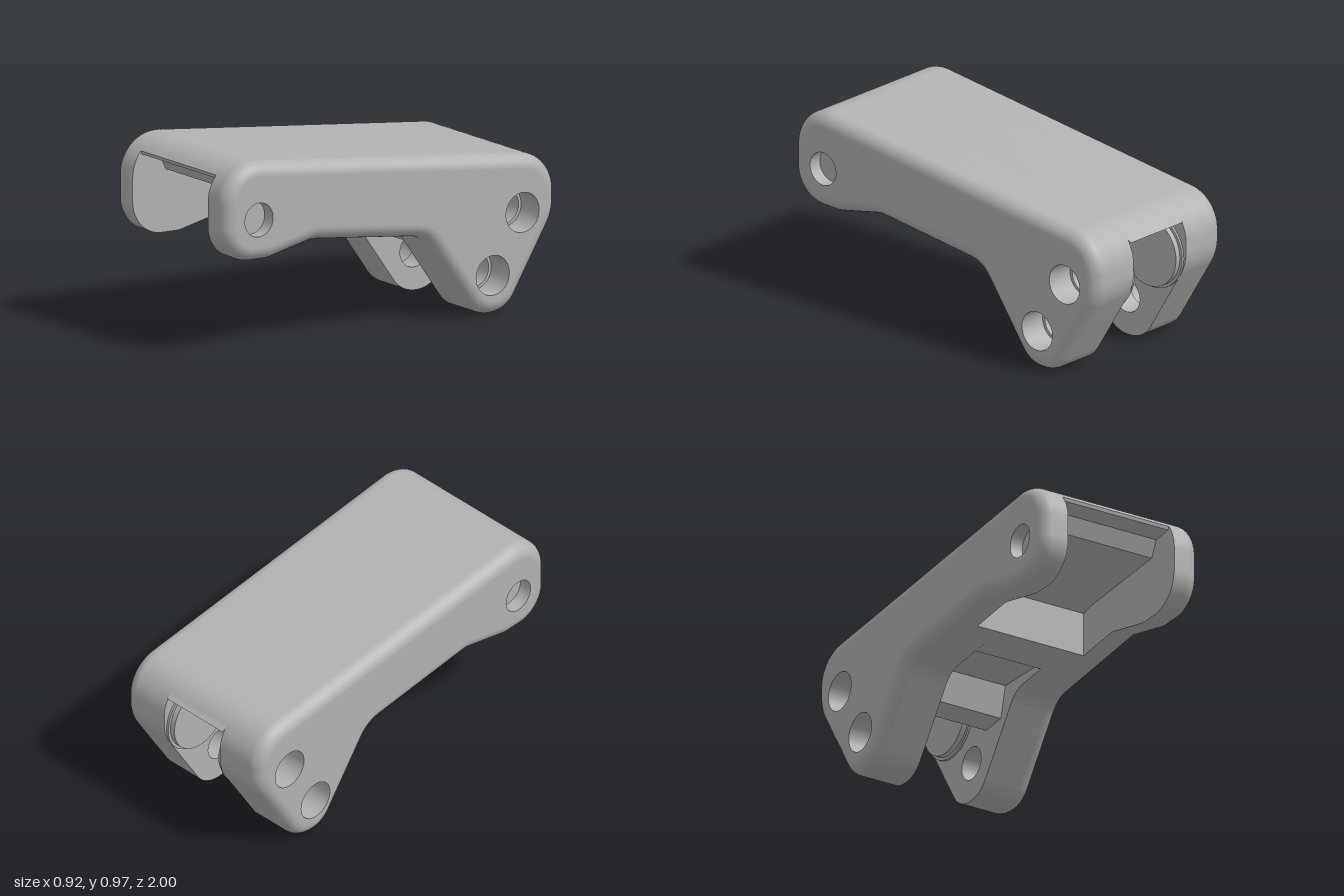
import * as THREE from 'three';
import { toCreasedNormals } from 'three/addons/utils/BufferGeometryUtils.js';

const V = (z, y) => new THREE.Vector2(-z, y); // side-profile point, drawn in (-z, y)

// Side profile corners: z, y, corner radius
const CORNERS = [
  [1, 0.99, 0.2], [1, 0.475, 0.18], [0.72, 0.468, 0.15], [0.45, 0.525, 0.15],
  [-0.22, 0.442, 0.15], [-0.535, 0, 0.16], [-0.718, 0, 0.16],
  [-1, 0.46, 0.25], [-1, 0.754, 0.2],
];
const UPPER = [-0.79, 0.49], LOWER = [-0.61, 0.2], FRONT = [0.8, 0.68];
const RIM = 0.07;

// Rounds every corner, giving points with outward normals
function roundedOutline(corners, steps = 14) {
  const out = [], n = corners.length;
  const at = (i) => V(...corners[(i + n) % n]);
  for (let i = 0; i < n; i++) {
    const p = at(i), r = corners[i][2];
    const d1 = at(i - 1).sub(p).normalize(), d2 = at(i + 1).sub(p).normalize();
    const half = Math.acos(d1.dot(d2)) / 2;
    const c = p.clone().addScaledVector(d1.clone().add(d2).normalize(), r / Math.sin(half));
    const a0 = p.clone().addScaledVector(d1, r / Math.tan(half)).sub(c).angle();
    const a1 = p.clone().addScaledVector(d2, r / Math.tan(half)).sub(c).angle();
    const sweep = Math.atan2(Math.sin(a1 - a0), Math.cos(a1 - a0));
    for (let k = 0; k <= steps; k++) {
      const a = a0 + (sweep * k) / steps;
      const dir = new THREE.Vector2(Math.cos(a), Math.sin(a));
      out.push({ p: c.clone().addScaledVector(dir, r), n: dir.multiplyScalar(Math.sign(sweep)) });
    }
  }
  return out;
}

// Replaces the run of points inside a cut with the outline of that cut
function cut(points, inside, replacement) {
  const first = points.findIndex(inside);
  const kept = points.filter((p) => !inside(p));
  kept.splice(first, 0, ...replacement.map((q) => V(...q)));
  return kept;
}

function shapeOf(points, holes = []) {
  const shape = new THREE.Shape(points);
  for (const [z, y, r] of holes) {
    shape.holes.push(new THREE.Path().absarc(-z, y, r, 0, Math.PI * 2, true));
  }
  return shape;
}

// Flat slab between two x positions
function slab(points, holes, x0, x1) {
  const g = new THREE.ExtrudeGeometry(shapeOf(points, holes), {
    depth: x1 - x0, bevelEnabled: false, curveSegments: 20,
  });
  g.translate(0, 0, x0).rotateY(Math.PI / 2);
  return toCreasedNormals(g, 0.5);
}

// Rounded outer edge, swept as inset copies of the outline
function rimGeometry(outline, x0, steps = 8) {
  const pos = [], nor = [], idx = [], n = outline.length;
  for (let t = 0; t <= steps; t++) {
    const a = (t / steps) * Math.PI / 2, s = Math.sin(a), c = Math.cos(a);
    for (const o of outline) {
      const q = o.p.clone().addScaledVector(o.n, -RIM * (1 - c));
      pos.push(x0 + RIM * s, q.y, -q.x);
      nor.push(s, o.n.y * c, -o.n.x * c);
    }
  }
  for (let t = 0; t < steps; t++) {
    for (let i = 0; i < n; i++) {
      const j = (i + 1) % n, a = t * n + i, b = t * n + j;
      idx.push(a, b, b + n, a, b + n, a + n);
    }
  }
  const g = new THREE.BufferGeometry();
  g.setAttribute('position', new THREE.Float32BufferAttribute(pos, 3));
  g.setAttribute('normal', new THREE.Float32BufferAttribute(nor, 3));
  g.setIndex(idx);
  return g;
}

function disc([z, y], r, x0, x1, open = false) {
  const g = new THREE.CylinderGeometry(r, r, x1 - x0, 40, 1, open);
  return g.rotateZ(Math.PI / 2).translate((x0 + x1) / 2, y, z);
}

export function createModel() {
  const group = new THREE.Group();
  group.name = 'hingedLink';
  const grey = new THREE.MeshStandardMaterial({ color: 0xb2b2b2, side: THREE.DoubleSide });
  grey.name = 'plain grey';
  const add = (parent, name, geometry) => {
    const mesh = new THREE.Mesh(geometry, grey);
    mesh.name = name;
    parent.add(mesh);
  };

  const outline = roundedOutline(CORNERS);
  const full = outline.map((o) => o.p);
  // Front cavity with a stepped ceiling, open below
  const hollow = cut(full, (p) => p.x < -0.2 && p.y < 0.88,
    [[0.945, 0.88], [0.84, 0.868], [0.8, 0.785], [0.25, 0.735], [0.2, 0.72], [0.2, 0.494]]);
  // Centre strip: relief under the body, a short web, then the rear slot
  const centre = cut(hollow, (p) => p.x > 0.02 && p.y < 0.68,
    [[0, 0.469], [-0.05, 0.5], [-0.31, 0.5], [-0.35, 0.34], [-0.48, 0.325], [-0.54, 0.68], [-0.982, 0.68]]);
  add(group, 'centreCore', slab(centre, [], -0.19, 0.19));

  const bores = [[...UPPER, 0.085], [...LOWER, 0.085]];
  const counterbores = [[...UPPER, 0.1], [...LOWER, 0.1]];
  const pocket = [...FRONT, 0.085];
  for (const side of [1, -1]) {
    const half = new THREE.Group();
    half.name = side > 0 ? 'leftSide' : 'rightSide';
    half.scale.x = side;
    group.add(half);

    add(half, 'innerCheek', slab(hollow, bores, 0.19, 0.31));
    add(half, 'outerCheek', slab(full, counterbores, 0.31, 0.39));
    add(half, 'roundedRim', rimGeometry(outline, 0.39));

    // Outer face with the pin holes and the front pocket
    const inset = outline.map((o) => o.p.clone().addScaledVector(o.n, -RIM));
    const face = new THREE.ShapeGeometry(shapeOf(inset, [...counterbores, pocket]), 20);
    add(half, 'outerFace', face.translate(0, 0, 0.46).rotateY(Math.PI / 2));
    for (const [z, y, r] of [...counterbores, pocket]) {
      add(half, 'holeWall', disc([z, y], r, 0.39, 0.46, true));
    }

    // Raised round boss closing the upper hole inside the slot
    add(half, 'bossFlange', disc(UPPER, 0.195, 0.178, 0.19));
    add(half, 'boss', disc(UPPER, 0.18, 0.15, 0.18));
  }
  return group;
}
